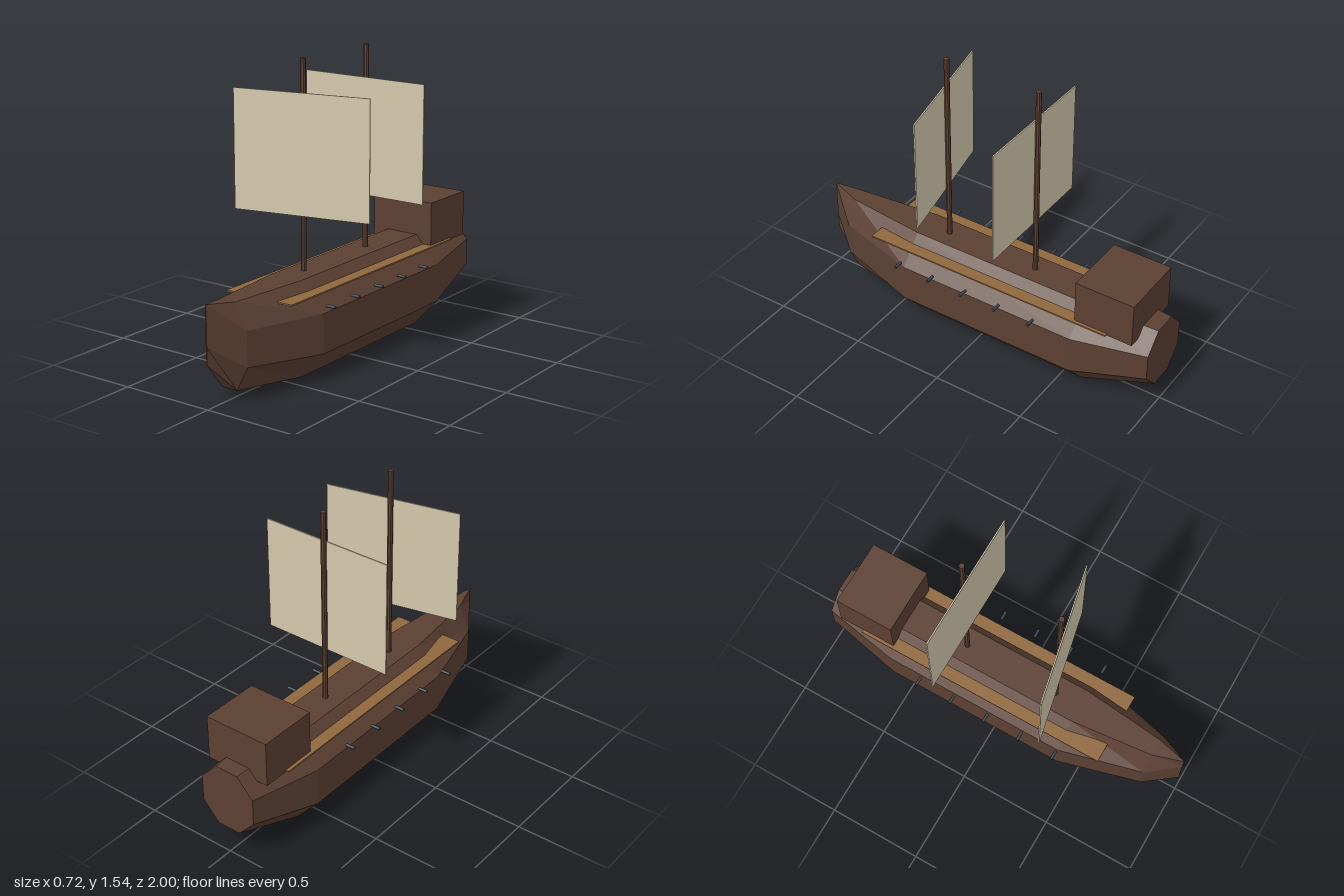
import * as THREE from 'three';

const mat = (name, color, extra = {}) => {
  const m = new THREE.MeshStandardMaterial({ color, ...extra });
  m.name = name;
  return m;
};

// Lofted hull: each station is [z, halfWidth, bottomY, topY] of an octagon
function hullGeometry() {
  const stations = [
    [-1, 0.157, 0.143, 0.483],
    [-0.6, 0.22, 0, 0.49],
    [0.4, 0.22, 0, 0.49],
    [0.84, 0.11, 0.055, 0.49],
    [1, 0.003, 0.22, 0.51],
  ];
  const sides = 8;
  const k = 1 / Math.cos(Math.PI / sides);
  const rings = stations.map(([z, w, y0, y1]) =>
    Array.from({ length: sides }, (_, i) => {
      const a = ((i + 0.5) / sides) * Math.PI * 2;
      return [
        Math.cos(a) * k * w,
        (y0 + y1) / 2 + (Math.sin(a) * k * (y1 - y0)) / 2,
        z,
      ];
    }));
  const pos = [];
  const tri = (a, b, c) => pos.push(...a, ...b, ...c);
  for (let s = 0; s < rings.length - 1; s++) {
    for (let i = 0; i < sides; i++) {
      const j = (i + 1) % sides;
      const [a, b, c, d] = [rings[s][i], rings[s][j], rings[s + 1][j], rings[s + 1][i]];
      tri(a, b, c);
      tri(a, c, d);
    }
  }
  // Stern and bow caps
  const stern = rings[0], bow = rings[rings.length - 1];
  for (let i = 1; i < sides - 1; i++) {
    tri(stern[0], stern[i + 1], stern[i]);
    tri(bow[0], bow[i], bow[i + 1]);
  }
  const g = new THREE.BufferGeometry();
  g.setAttribute('position', new THREE.Float32BufferAttribute(pos, 3));
  g.computeVertexNormals();
  return g;
}

export function createModel() {
  const ship = new THREE.Group();
  ship.name = 'sailingShip';
  const wood = mat('darkWood', 0x5c4033, { flatShading: true });
  const trim = mat('lightWood', 0x8f683e);
  const canvas = mat('sailCloth', 0xd4c8ac);
  const iron = mat('iron', 0x3a444e);

  const add = (name, geometry, material, x, y, z) => {
    const mesh = new THREE.Mesh(geometry, material);
    mesh.name = name;
    mesh.position.set(x, y, z);
    ship.add(mesh);
    return mesh;
  };

  add('hull', hullGeometry(), wood, 0, 0, 0);
  add('cabin', new THREE.BoxGeometry(0.36, 0.24, 0.32), wood, 0, 0.553, -0.76);

  // Plank passing through the hull, showing as a rail on each side
  add('sideRails', new THREE.BoxGeometry(0.394, 0.008, 1.4), trim, 0, 0.44, -0.083);

  // Masts, each with a square sail just ahead of it
  const mastGeometry = new THREE.CylinderGeometry(0.014, 0.014, 1.1, 8);
  const sailGeometry = new THREE.BoxGeometry(0.716, 0.605, 0.007);
  for (const [name, z, turn] of [['fore', 0.262, 0.21], ['main', -0.26, 0]]) {
    add(name + 'Mast', mastGeometry, wood, 0, 0.987, z);
    add(name + 'Sail', sailGeometry, canvas, 0, 1.07, z + 0.018).rotation.y = turn;
  }

  // Five guns along each side
  const gunGeometry = new THREE.CylinderGeometry(0.008, 0.008, 0.05, 8).rotateZ(Math.PI / 2);
  for (const side of [-1, 1]) {
    for (let i = -2; i <= 2; i++) {
      add('gun', gunGeometry, iron, side * 0.266, 0.392, i * 0.2);
    }
  }
  return ship;
}
